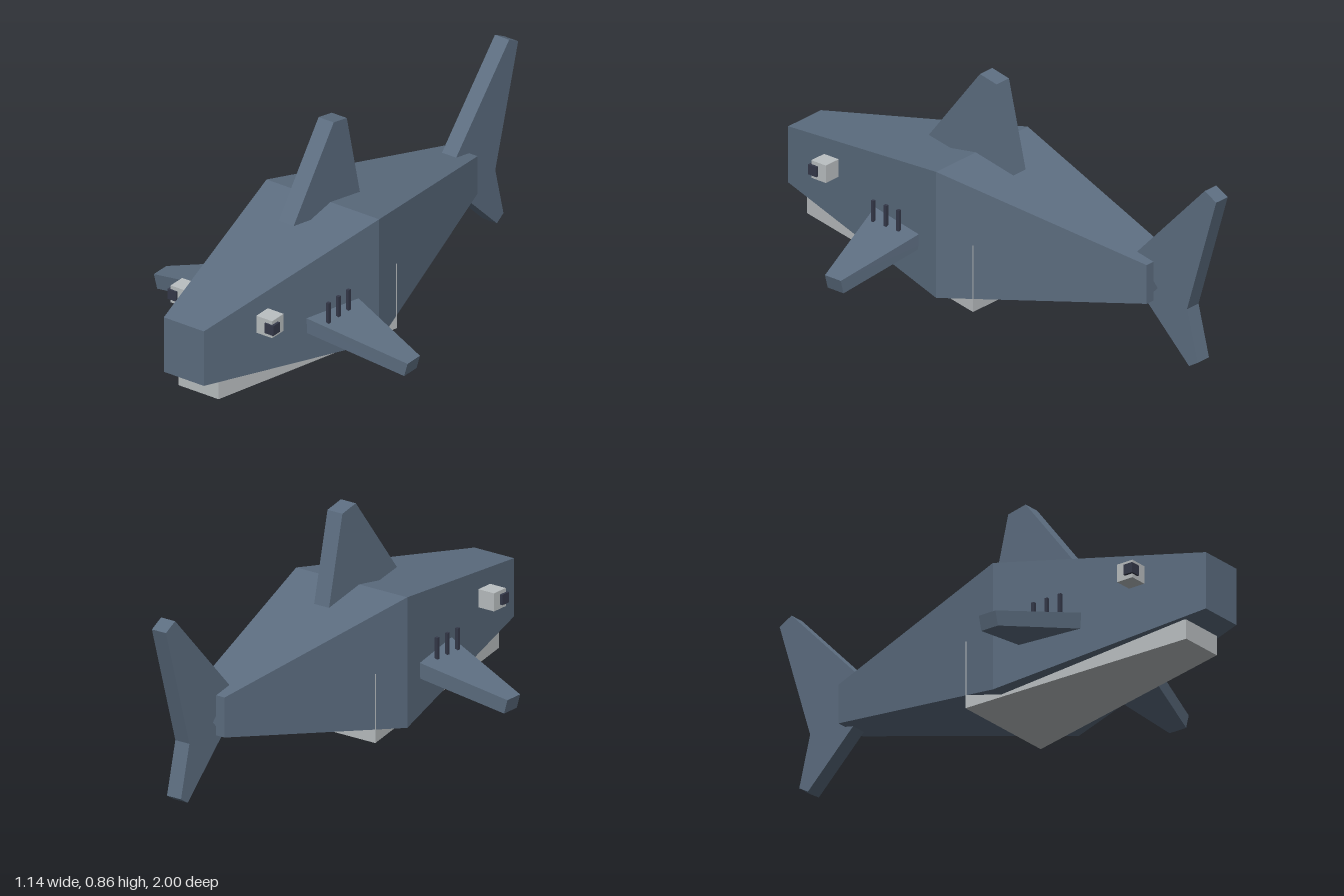
import * as THREE from 'three';

const material = (name, color) => {
  const m = new THREE.MeshStandardMaterial({ color });
  m.name = name;
  return m;
};

// Flat-faced solid through four-cornered rings, each counter-clockwise seen from the last ring's end
function loft(rings) {
  const pos = [];
  const quad = (a, b, c, d) => pos.push(...a, ...b, ...c, ...a, ...c, ...d);
  const first = rings[0], last = rings[rings.length - 1];
  quad(first[3], first[2], first[1], first[0]);
  quad(...last);
  for (let r = 0; r < rings.length - 1; r++) {
    for (let i = 0; i < 4; i++) {
      const j = (i + 1) % 4;
      quad(rings[r][i], rings[r][j], rings[r + 1][j], rings[r + 1][i]);
    }
  }
  const g = new THREE.BufferGeometry();
  g.setAttribute('position', new THREE.Float32BufferAttribute(pos, 3));
  g.computeVertexNormals();
  return g;
}

// Upright rectangle across the body
const section = (z, w, y0, y1) => [[-w, y0, z], [w, y0, z], [w, y1, z], [-w, y1, z]];

// Upright plate from a [z, y] outline, centred on x = 0
function plate(points, width) {
  const shape = new THREE.Shape(points.map(([z, y]) => new THREE.Vector2(z, y)));
  const g = new THREE.ExtrudeGeometry(shape, { depth: width, bevelEnabled: false });
  return g.translate(0, 0, -width / 2).rotateY(-Math.PI / 2);
}

export function createModel() {
  const model = new THREE.Group();
  model.name = 'shark';
  const skin = material('slate blue skin', 0x5d6e81);
  const pale = material('pale grey', 0xbbc0c2);
  const dark = material('dark blue', 0x35394a);

  const add = (name, geometry, mat) => {
    const mesh = new THREE.Mesh(geometry, mat);
    mesh.name = name;
    model.add(mesh);
    return mesh;
  };
  const box = (name, mat, w, h, d, x, y, z) =>
    add(name, new THREE.BoxGeometry(w, h, d), mat).position.set(x, y, z);

  // Body and lower jaw
  add('body', loft([
    section(-0.7, 0.07, 0.21, 0.365),
    section(0.15, 0.253, 0.035, 0.54),
    section(1, 0.09, 0.175, 0.4),
  ]), skin);
  add('lowerJaw', loft([
    section(0, 0.222, 0.014, 0.28),
    section(0.91, 0.09, 0.08, 0.157),
  ]), pale);

  // Fins on the centre line
  add('dorsalFin', plate([
    [0.375, 0.54], [0.13, 0.86], [0.05, 0.843], [-0.04, 0.46],
  ], 0.068), skin);
  add('tailFin', plate([
    [-0.62, 0.38], [-0.945, 0.725], [-1, 0.695], [-0.86, 0.225],
    [-0.91, 0.025], [-0.87, 0], [-0.66, 0.205], [-0.72, 0.265],
  ], 0.064), skin);

  // Paired parts
  for (const [side, s] of [['left', 1], ['right', -1]]) {
    const finRing = (xLow, xHigh, y0, y1, front, back) => {
      const ring = [
        [s * xLow, y0, front], [s * xLow, y0, back],
        [s * xHigh, y1, back], [s * xHigh, y1, front],
      ];
      return s > 0 ? ring : ring.reverse();
    };
    add(side + 'PectoralFin', loft([
      finRing(0.12, 0.135, 0.22, 0.279, 0.515, 0.226),
      finRing(0.555, 0.57, 0.105, 0.16, 0.408, 0.332),
    ]), skin);

    box(side + 'Eye', pale, 0.071, 0.07, 0.07, s * 0.1925, 0.35, 0.735);
    box(side + 'Pupil', dark, 0.04, 0.04, 0.04, s * 0.218, 0.35, 0.757);
    for (let i = 0; i < 3; i++) {
      box(side + 'Gill' + (i + 1), dark, 0.012, 0.085, 0.013, s * 0.249, 0.2875, 0.333 + i * 0.061);
    }
  }
  return model;
}
